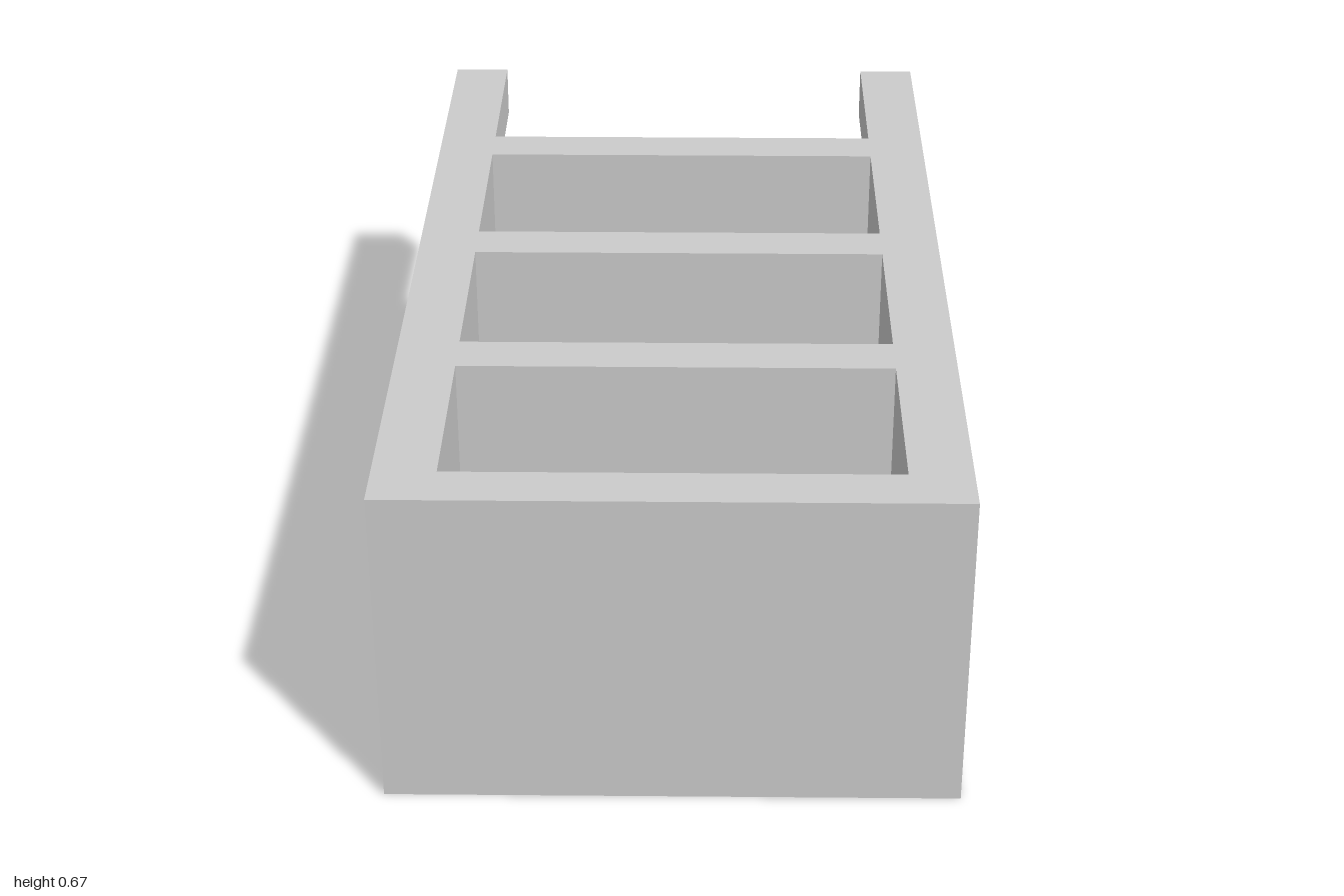
import * as THREE from 'three';

const W = 1.11, H = 0.667, FLOOR = 0.11;
const BACK = -0.6, FRONT = 1;
const POCKET_X = 0.433, POCKET_LENGTH = 0.4;

// Adds a counter-clockwise rectangle in plan (x, z) to a shape or path
function rect(path, x0, x1, z0, z1) {
  path.moveTo(x0, -z1);
  path.lineTo(x1, -z1);
  path.lineTo(x1, -z0);
  path.lineTo(x0, -z0);
  path.closePath();
  return path;
}

export function createModel() {
  const group = new THREE.Group();
  const material = new THREE.MeshStandardMaterial({ color: 0xcccccc, flatShading: true });

  function add(name, geometry, x = 0, y = 0, z = 0) {
    const mesh = new THREE.Mesh(geometry, material);
    mesh.name = name;
    mesh.position.set(x, y, z);
    group.add(mesh);
  }

  // Walls and dividers around three open compartments
  const plan = rect(new THREE.Shape(), -W / 2, W / 2, BACK, FRONT);
  for (const z of [-0.5, 0, 0.5]) {
    plan.holes.push(rect(new THREE.Path(), -POCKET_X, POCKET_X, z, z + POCKET_LENGTH));
  }
  const walls = new THREE.ExtrudeGeometry(plan, { depth: H - FLOOR, bevelEnabled: false });
  walls.rotateX(-Math.PI / 2);
  add('compartmentWalls', walls, 0, FLOOR, 0);

  // Closed bottom
  add('floor', new THREE.BoxGeometry(W, FLOOR, FRONT - BACK), 0, FLOOR / 2, (FRONT + BACK) / 2);

  // Four bars reaching back from the corners
  const barW = W / 2 - POCKET_X, barH = 0.114, barL = 0.4;
  for (const side of [-1, 1]) {
    for (const [level, y] of [['lower', barH / 2], ['upper', H - barH / 2]]) {
      const name = `${level}${side > 0 ? 'Left' : 'Right'}Bar`;
      add(name, new THREE.BoxGeometry(barW, barH, barL), side * (W / 2 - barW / 2), y, BACK - barL / 2);
    }
  }
  return group;
}
